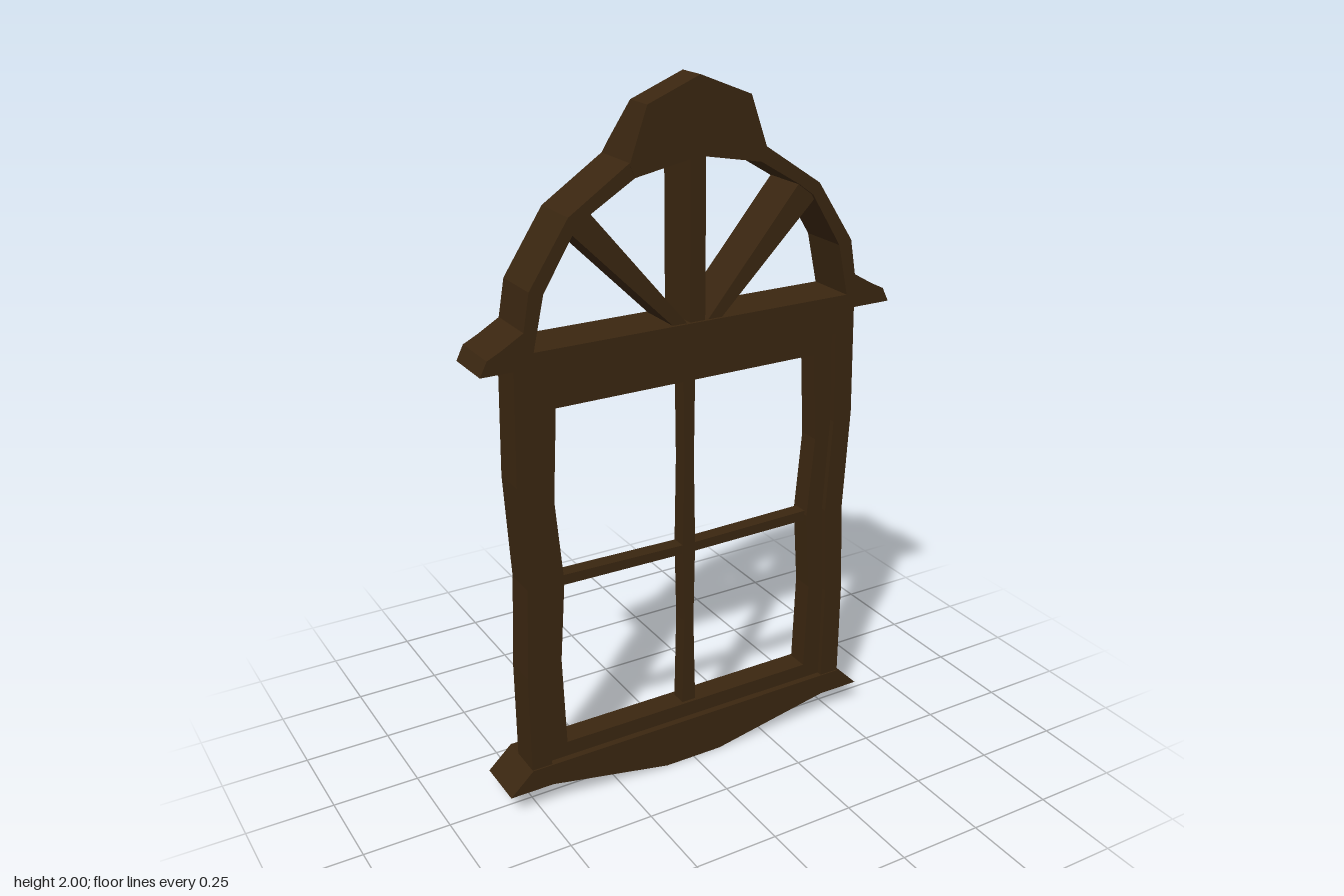
import * as THREE from 'three';

const wood = new THREE.MeshStandardMaterial({ color: 0x3a2610 });
wood.name = 'dark wood';
const iron = new THREE.MeshStandardMaterial({ color: 0x3a424a });
iron.name = 'dark iron';

// Closed outline from its right half, mirrored in x
const mirror = (half) => [
  ...half,
  ...half.slice().reverse().filter(([x]) => x !== 0).map(([x, y]) => [-x, y]),
];
const vecs = (pts) => pts.map(([x, y]) => new THREE.Vector2(x, y));

function plate(name, outline, holes, z0, z1, material = wood) {
  const shape = new THREE.Shape(vecs(outline));
  holes.forEach((h) => shape.holes.push(new THREE.Path(vecs(h))));
  const geo = new THREE.ExtrudeGeometry(shape, { depth: z1 - z0, bevelEnabled: false });
  geo.translate(0, 0, z0);
  const mesh = new THREE.Mesh(geo, material);
  mesh.name = name;
  return mesh;
}

function box(name, w, h, x, y, z0, z1, material = wood) {
  const mesh = new THREE.Mesh(new THREE.BoxGeometry(w, h, z1 - z0), material);
  mesh.position.set(x, y, (z0 + z1) / 2);
  mesh.name = name;
  return mesh;
}

// Flat-shaded solid through counter-clockwise rings, ordered front to back
function loft(name, rings) {
  const pos = [];
  const tri = (...p) => p.forEach((v) => pos.push(...v));
  const pts = rings.map(({ z, ring }) => ring.map(([x, y]) => [x, y, z]));
  for (let r = 0; r < pts.length - 1; r++) {
    const f = pts[r], b = pts[r + 1];
    f.forEach((p, i) => {
      const j = (i + 1) % f.length;
      tri(p, b[i], b[j]);
      tri(p, b[j], f[j]);
    });
  }
  const front = pts[0], back = pts[pts.length - 1];
  THREE.ShapeUtils.triangulateShape(vecs(rings[0].ring), []).forEach(([a, b, c]) => tri(front[a], front[b], front[c]));
  THREE.ShapeUtils.triangulateShape(vecs(rings[rings.length - 1].ring), []).forEach(([a, b, c]) => tri(back[c], back[b], back[a]));
  const geo = new THREE.BufferGeometry();
  geo.setAttribute('position', new THREE.Float32BufferAttribute(pos, 3));
  geo.computeVertexNormals();
  const mesh = new THREE.Mesh(geo, wood);
  mesh.name = name;
  return mesh;
}

export function createModel() {
  const model = new THREE.Group();
  model.name = 'archedWindow';

  // Outer frame with gently wavy stiles
  const frameOuter = mirror([[0.52, 0.1], [0.522, 0.43], [0.51, 0.7], [0.527, 1.0], [0.52, 1.335]]);
  const casementOuter = mirror([[0.46, 0.135], [0.463, 0.43], [0.45, 0.7], [0.467, 0.98], [0.46, 1.245]]);
  model.add(plate('outerFrame', frameOuter, [casementOuter], -0.035, 0.061));

  // Recessed casement and glazing bars
  const opening = mirror([[0.403, 0.18], [0.412, 0.45], [0.395, 0.69], [0.416, 0.93], [0.402, 1.19]]);
  model.add(plate('casement', casementOuter, [opening], -0.02, 0.045));
  model.add(plate('verticalBar', mirror([[0.022, 0.17], [0.015, 0.45], [0.02, 0.69], [0.015, 0.95], [0.018, 1.2]]), [], -0.012, 0.035));
  model.add(plate('horizontalBar', mirror([[0, 0.668], [0.41, 0.672], [0.41, 0.702], [0, 0.695]]), [], -0.01, 0.033));

  // Sill
  model.add(plate('sill', mirror([[0.09, 0], [0.46, 0.07], [0.59, 0.07], [0.52, 0.135]]), [], -0.087, 0.065));

  // Arch with flared feet
  const archOuter = mirror([
    [0.62, 1.325], [0.6, 1.365], [0.56, 1.385], [0.5, 1.42], [0.482, 1.52],
    [0.37, 1.69], [0.2, 1.803], [0, 1.82],
  ]);
  const archInner = mirror([
    [0.475, 1.365], [0.443, 1.51], [0.35, 1.66], [0.305, 1.693], [0.185, 1.765], [0, 1.8],
  ]);
  model.add(plate('arch', archOuter, [archInner], -0.063, 0.085));

  // Fan spokes
  model.add(box('centreSpoke', 0.046, 0.46, 0, 1.58, -0.055, 0.077));
  const spoke = [[0.028, 1.36], [0.07, 1.36], [0.362, 1.648], [0.315, 1.7]];
  model.add(plate('leftSpoke', spoke, [], -0.055, 0.077));
  model.add(plate('rightSpoke', spoke.map(([x, y]) => [-x, y]).reverse(), [], -0.055, 0.077));

  // Crown, sloping down towards the back
  const crown = mirror([[0, 1.801], [0.187, 1.767], [0.2, 1.8], [0.15, 1.94], [0, 2]].reverse()).reverse();
  const crownBack = mirror([[0, 1.801], [0.187, 1.767], [0.2, 1.8], [0.185, 1.825], [0, 1.842]].reverse()).reverse();
  model.add(loft('crown', [
    { z: 0.0865, ring: crown },
    { z: 0, ring: crown },
    { z: -0.0645, ring: crownBack },
  ]));

  // Handle on the back of the casement
  const handle = new THREE.Group();
  handle.name = 'handle';
  handle.add(box('handlePlate', 0.036, 0.13, -0.425, 0.695, -0.045, -0.019, iron));
  handle.add(box('handleGrip', 0.02, 0.12, -0.425, 0.695, -0.055, -0.044, iron));
  [0.63, 0.76].forEach((y) => handle.add(box('handleEnd', 0.044, 0.02, -0.425, y, -0.06, -0.019, iron)));
  model.add(handle);

  // Hinges
  [0.46, 1.0].forEach((y) => {
    const hinge = new THREE.Group();
    hinge.name = 'hinge';
    hinge.add(box('hingeLeaf', 0.036, 0.045, 0.445, y, -0.03, -0.019, iron));
    const pin = new THREE.Mesh(new THREE.CylinderGeometry(0.008, 0.008, 0.065, 8), iron);
    pin.position.set(0.455, y, -0.03);
    pin.name = 'hingePin';
    hinge.add(pin);
    model.add(hinge);
  });

  return model;
}
